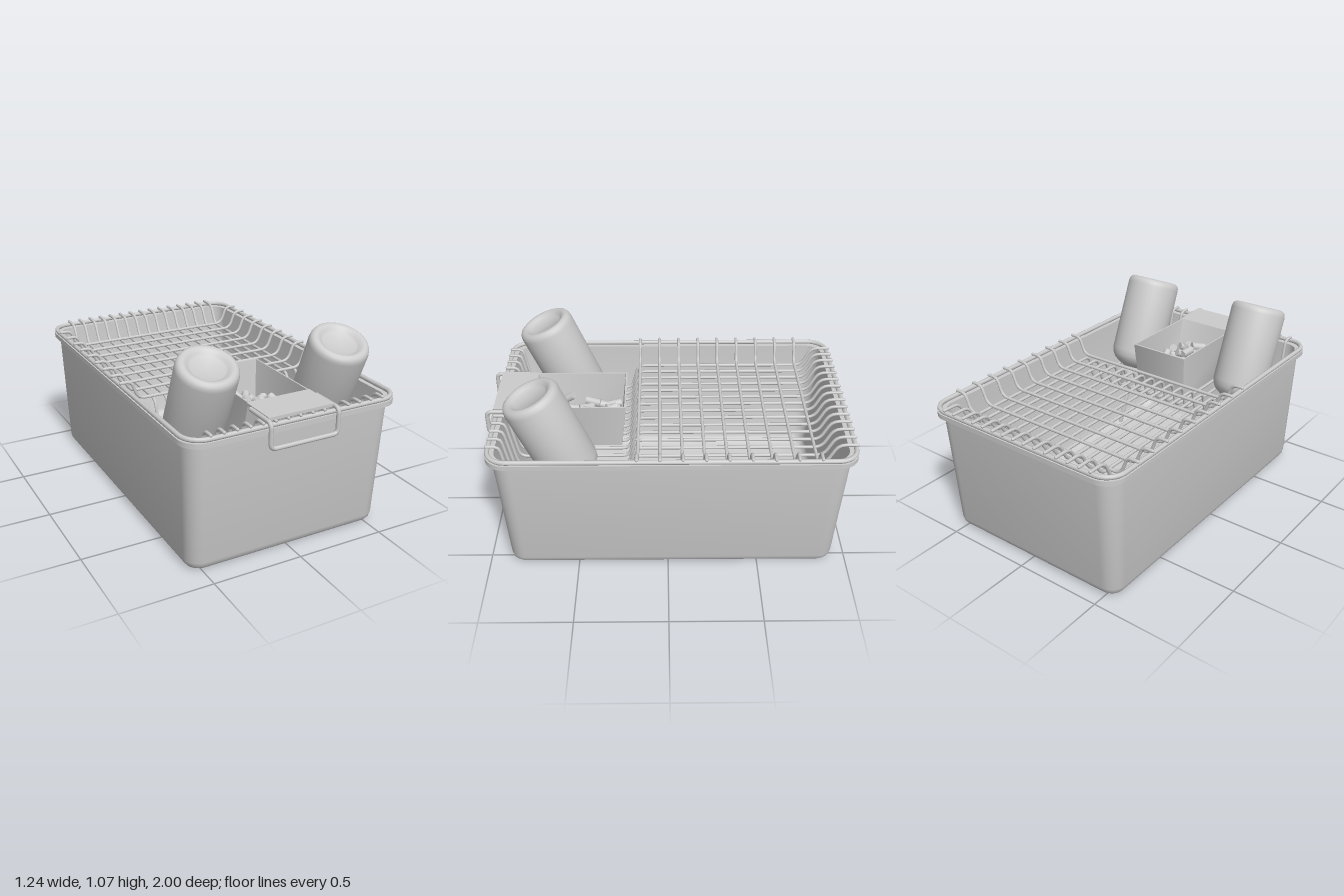
import * as THREE from 'three';
import { toCreasedNormals } from 'three/addons/utils/BufferGeometryUtils.js';

const grey = new THREE.MeshStandardMaterial({ color: 0xcccccc });
const CZ = -0.02; // z centre of the tub

function add(parent, name, geometry) {
  const mesh = new THREE.Mesh(geometry, grey);
  mesh.name = name;
  parent.add(mesh);
  return mesh;
}

// Rounded rectangle in the xz plane, as a list of [x, z]
function roundedRect(hx, hz, r, cz, seg) {
  const pts = [];
  const signs = [[1, 1], [-1, 1], [-1, -1], [1, -1]];
  signs.forEach(([sx, sz], k) => {
    for (let i = 0; i <= seg; i++) {
      const a = (k + i / seg) * Math.PI / 2;
      pts.push([sx * (hx - r) + r * Math.cos(a), cz + sz * (hz - r) + r * Math.sin(a)]);
    }
  });
  return pts;
}

// Skin over rounded rectangles given as [halfX, halfZ, radius, y, centreZ]
function loft(rings, seg, crease) {
  const pos = [], idx = [];
  const n = 4 * (seg + 1);
  rings.forEach(([hx, hz, r, y, cz]) =>
    roundedRect(hx, hz, r, cz, seg).forEach(([x, z]) => pos.push(x, y, z)));
  for (let i = 0; i < rings.length - 1; i++) {
    for (let j = 0; j < n; j++) {
      const a = i * n + j, b = i * n + (j + 1) % n;
      idx.push(a, a + n, b, b, a + n, b + n);
    }
  }
  const g = new THREE.BufferGeometry();
  g.setAttribute('position', new THREE.Float32BufferAttribute(pos, 3));
  g.setIndex(idx);
  return toCreasedNormals(g, crease);
}

// Polyline with rounded corners
function bentPath(coords, r) {
  const p = coords.map(c => new THREE.Vector3(...c));
  const path = new THREE.CurvePath();
  let from = p[0];
  for (let i = 1; i < p.length - 1; i++) {
    const toPrev = p[i - 1].clone().sub(p[i]), toNext = p[i + 1].clone().sub(p[i]);
    const d = Math.min(r, toPrev.length() * 0.45, toNext.length() * 0.45);
    const a = p[i].clone().addScaledVector(toPrev.normalize(), d);
    const b = p[i].clone().addScaledVector(toNext.normalize(), d);
    path.add(new THREE.LineCurve3(from, a));
    path.add(new THREE.QuadraticBezierCurve3(a, p[i], b));
    from = b;
  }
  path.add(new THREE.LineCurve3(from, p[p.length - 1]));
  return path;
}

// Bent wire with rounded ends
function wire(parent, name, coords, r, bend, segments) {
  const g = new THREE.Group();
  g.name = name;
  add(g, name + 'Rod', new THREE.TubeGeometry(bentPath(coords, bend), segments, r, 8, false));
  [coords[0], coords[coords.length - 1]].forEach(c =>
    add(g, name + 'End', new THREE.SphereGeometry(r, 8, 6)).position.set(...c));
  parent.add(g);
}

function makeTub() {
  const rings = [
    [0, 0, 0, 0], [0.535, 0.87, 0.06, 0], [0.552, 0.887, 0.07, 0.009],
    [0.564, 0.9, 0.08, 0.025], [0.57, 0.906, 0.085, 0.048],
    [0.59, 0.945, 0.1, 0.71], [0.617, 0.975, 0.115, 0.71],
    [0.617, 0.975, 0.115, 0.737], [0.574, 0.929, 0.085, 0.737],
    [0.553, 0.889, 0.07, 0.07], [0.543, 0.879, 0.065, 0.045],
    [0.525, 0.86, 0.06, 0.028], [0.495, 0.83, 0.05, 0.02], [0, 0, 0, 0.02],
  ];
  return loft(rings.map(r => [...r, CZ]), 8, 0.7);
}

function makeLid() {
  const lid = new THREE.Group();
  lid.name = 'wireLid';
  // Frame rod resting on the tub rim
  const loop = roundedRect(0.603, 0.962, 0.105, CZ, 8).map(([x, z]) => [x, 0.75, z]);
  loop.push(loop[0]);
  add(lid, 'lidFrame', new THREE.TubeGeometry(bentPath(loop, 0.005), 240, 0.013, 8, false));

  // Long wires: shallow at the back, deeper below the bottles and hopper
  for (let i = -7; i <= 7; i++) {
    const x = i * 0.07;
    wire(lid, 'longWire', [
      [x, 0.768, -0.99], [x, 0.768, -0.89], [x, 0.65, -0.83], [x, 0.65, 0.175],
      [x, 0.49, 0.215], [x, 0.49, 0.83], [x, 0.768, 0.88], [x, 0.768, 0.945],
    ], 0.009, 0.04, 110);
  }
  // Cross wires
  for (let i = 0; i < 9; i++) {
    const z = -0.79 + i * 0.119;
    wire(lid, 'crossWire', [
      [-0.61, 0.768, z], [-0.55, 0.768, z], [-0.51, 0.665, z],
      [0.51, 0.665, z], [0.55, 0.768, z], [0.61, 0.768, z],
    ], 0.009, 0.04, 70);
  }
  return lid;
}

function makeHopper() {
  const hopper = new THREE.Group();
  hopper.name = 'feedHopper';
  add(hopper, 'hopperBox', loft([
    [0, 0, 0, 0.53, 0.46], [0.165, 0.205, 0.004, 0.53, 0.46],
    [0.18, 0.262, 0.004, 0.795, 0.49], [0.172, 0.252, 0.004, 0.795, 0.49],
    [0.157, 0.195, 0.004, 0.54, 0.46], [0, 0, 0, 0.54, 0.46],
  ], 2, 0.5));
  add(hopper, 'hopperShelf', new THREE.BoxGeometry(0.37, 0.016, 0.21)).position.set(0, 0.787, 0.848);
  wire(hopper, 'hookHandle', [
    [-0.193, 0.782, 0.8], [-0.193, 0.782, 0.988], [-0.193, 0.647, 0.988],
    [0.193, 0.647, 0.988], [0.193, 0.782, 0.988], [0.193, 0.782, 0.8],
  ], 0.012, 0.03, 120);

  // Heap of feed pellets
  let seed = 7;
  const rnd = () => (seed = (seed * 16807) % 2147483647) / 2147483647;
  const pellet = new THREE.CylinderGeometry(0.023, 0.023, 0.085, 12);
  for (let i = 0; i < 60; i++) {
    const level = i / 60;
    const m = add(hopper, 'pellet', pellet);
    const z = 0.31 + rnd() * 0.33;
    m.position.set((rnd() - 0.5) * 0.23, 0.57 + level * (0.06 + (z - 0.3) * 0.2), z);
    m.rotation.set(Math.PI / 2 + (rnd() - 0.5) * 1.3, (rnd() - 0.5) * 0.8, (rnd() - 0.5) * 1.4);
  }
  return hopper;
}

// Inverted bottle, origin at the centre of its base, neck pointing down
function makeBottle() {
  const profile = [
    [0, -0.95], [0.01, -0.95], [0.013, -0.94], [0.013, -0.7], [0.07, -0.7], [0.075, -0.695],
    [0.075, -0.6], [0.068, -0.595], [0.068, -0.575], [0.1, -0.56], [0.135, -0.535],
    [0.153, -0.505], [0.16, -0.47], [0.16, -0.04], [0.157, -0.022], [0.149, -0.008],
    [0.137, -0.001], [0.125, 0], [0.113, -0.004], [0.1, -0.016], [0.088, -0.024], [0, -0.026],
  ].map(([x, y]) => new THREE.Vector2(x, y));
  return toCreasedNormals(new THREE.LatheGeometry(profile, 40).toNonIndexed(), 0.9);
}

export function createModel() {
  const model = new THREE.Group();
  model.name = 'cage';
  add(model, 'tub', makeTub());
  model.add(makeLid(), makeHopper());
  const bottle = makeBottle();
  [-1, 1].forEach(side => {
    const b = add(model, side > 0 ? 'leftBottle' : 'rightBottle', bottle);
    b.position.set(side * 0.382, 1.02, 0.718);
    b.rotation.x = 0.4;
  });
  return model;
}
